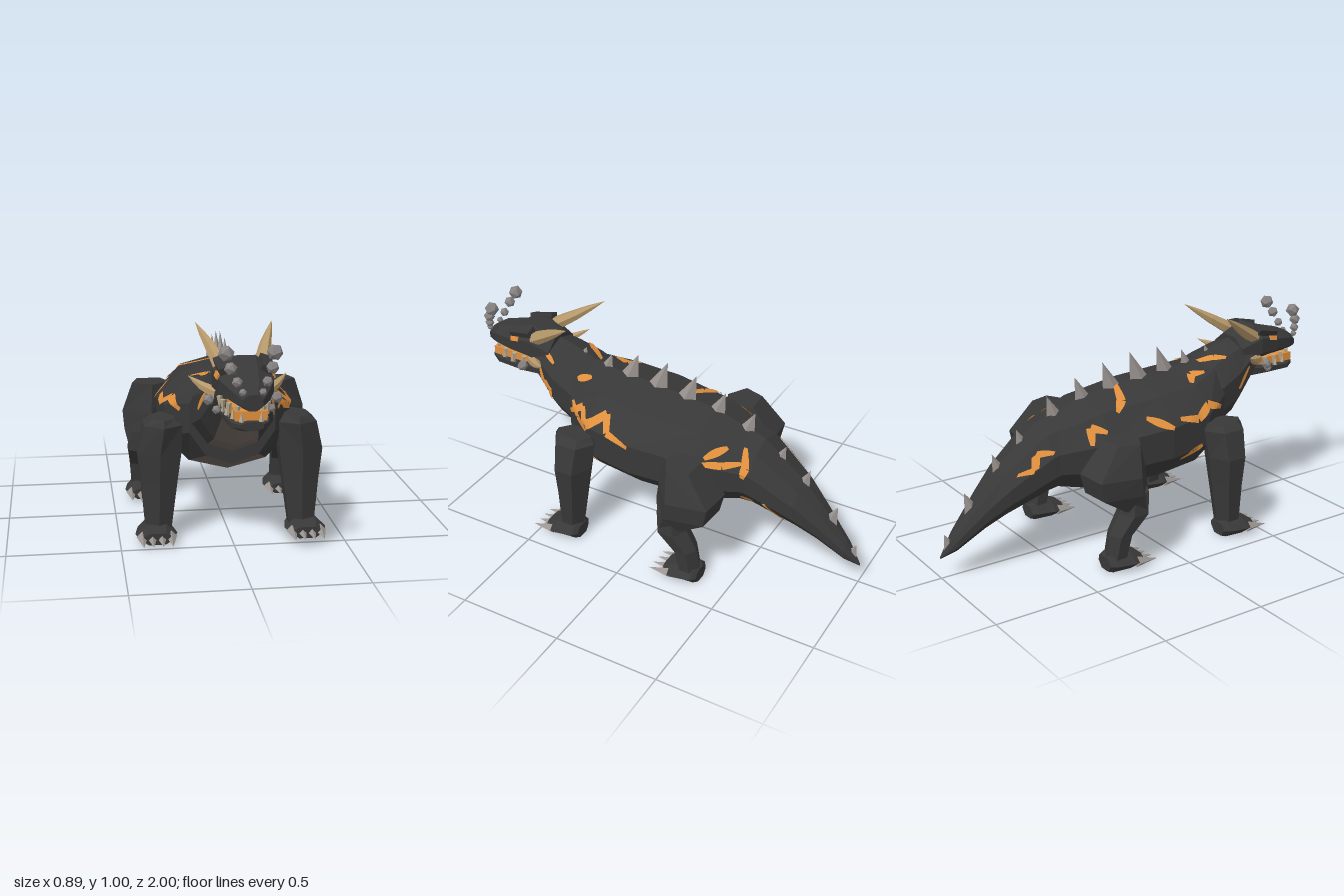
import * as THREE from 'three';

const mat = (name, color) => Object.assign(new THREE.MeshStandardMaterial({ color }), { name });
const V = (x, y, z) => new THREE.Vector3(x, y, z);

// Upright ring facing +z, starting at the bottom (plus phase) and turning towards +x
const ringZ = (n, phase, cx = 0) => ([z, y, w, h]) => Array.from({ length: n }, (_, k) => {
  const a = (k + phase) / n * Math.PI * 2;
  return V(cx + w * Math.sin(a), y - h * Math.cos(a), z);
});
// Level ring, counter-clockwise from above
const ringY = (n, phase) => ([y, x, z, rx, rz]) => Array.from({ length: n }, (_, k) => {
  const a = (k + phase) / n * Math.PI * 2;
  return V(x + rx * Math.cos(a), y, z - rz * Math.sin(a));
});

function fromTriangles(points) {
  const g = new THREE.BufferGeometry().setFromPoints(points);
  g.computeVertexNormals();
  return g;
}

// Skin a row of rings; keep() picks the strips along the sides
function loft(rings, keep = () => true, caps = true) {
  const t = [], n = rings[0].length;
  for (let i = 0; i < rings.length - 1; i++) for (let k = 0; k < n; k++) {
    if (!keep(k)) continue;
    const j = (k + 1) % n, a = rings[i][k], b = rings[i][j], c = rings[i + 1][j], d = rings[i + 1][k];
    t.push(a, d, c, a, c, b);
  }
  if (caps) {
    const first = rings[0], last = rings[rings.length - 1];
    for (let k = 1; k < n - 1; k++) t.push(first[0], first[k], first[k + 1], last[0], last[k + 1], last[k]);
  }
  return fromTriangles(t);
}

function faceted(g) {
  const f = g.index ? g.toNonIndexed() : g;
  f.computeVertexNormals();
  return f;
}

function mirrored(g) {
  const p = g.attributes.position, t = [];
  for (let i = 0; i < p.count; i += 3)
    for (const o of [0, 2, 1]) t.push(V(-p.getX(i + o), p.getY(i + o), p.getZ(i + o)));
  return fromTriangles(t);
}

// Curved, tapering horn
function horn(points, r) {
  const curve = new THREE.CatmullRomCurve3(points), seg = 4, sides = 6;
  const g = new THREE.TubeGeometry(curve, seg, r, sides), p = g.attributes.position, v = V();
  for (let i = 0; i < p.count; i++) {
    const u = Math.floor(i / (sides + 1)) / seg;
    v.fromBufferAttribute(p, i).lerp(curve.getPointAt(u), u * u * 0.98);
    p.setXYZ(i, v.x, v.y, v.z);
  }
  return faceted(g);
}

// Point on a lofted body at depth z and side position t (0 bottom, 5 top, negative for -x)
function onBody(rings, z, t) {
  let i = 0;
  while (i < rings.length - 2 && z < rings[i + 1][0].z) i++;
  const u = (z - rings[i][0].z) / (rings[i + 1][0].z - rings[i][0].z), n = rings[0].length;
  const s = ((t % n) + n) % n, k = Math.floor(s), f = s - k;
  const at = r => r[k].clone().lerp(r[(k + 1) % n], f);
  const centre = r => r[0].clone().lerp(r[n / 2], 0.5);
  const p = at(rings[i]).lerp(at(rings[i + 1]), u);
  const c = centre(rings[i]).lerp(centre(rings[i + 1]), u);
  return p.add(p.clone().sub(c).setZ(0).normalize().multiplyScalar(0.007));
}

// Jagged ribbon following the hide; path is [z, t] pairs
function crack(rings, path, width = 0.038) {
  const tri = [], steps = 8, S = 0.14;
  for (let i = 0; i < path.length - 1; i++) {
    const [z0, t0] = path[i], [z1, t1] = path[i + 1];
    const dz = z1 - z0, dt = (t1 - t0) * S, len = Math.hypot(dz, dt);
    const row = s => {
      const end = (i + s) / (path.length - 1);
      const w = width / 2 * (0.45 + 0.55 * Math.sin(Math.PI * end));
      return [1, -1].map(q => onBody(rings, z0 + dz * s - q * w * dt / len, t0 + (t1 - t0) * s + q * w * dz / len / S));
    };
    for (let s = 0; s < steps; s++) {
      const [a, b] = row(s / steps), [c, d] = row((s + 1) / steps);
      tri.push(a, b, d, a, d, c);
    }
  }
  return fromTriangles(tri);
}

export function createModel() {
  const model = new THREE.Group();
  const hide = mat('charcoal hide', 0x383838), belly = mat('brown belly', 0x6a5f59);
  const glow = mat('orange glow', 0xe08f3c), bone = mat('horn tan', 0xb6986a);
  const spikeGrey = mat('spike grey', 0x9c9592), smoke = mat('smoke grey', 0x858180);
  const tooth = mat('tooth ivory', 0xb5a88f);
  glow.side = THREE.DoubleSide;
  const add = (name, g, m) => {
    const mesh = new THREE.Mesh(g, m);
    mesh.name = name;
    model.add(mesh);
  };
  const both = (name, g, m) => { add(name + 'Left', g, m); add(name + 'Right', mirrored(g), m); };

  // Neck, torso and tail: z, centre y, half width, half height
  const ten = ringZ(10, 0);
  const neck = [[0.70, 0.765, 0.115, 0.1], [0.55, 0.655, 0.165, 0.18], [0.44, 0.61, 0.187, 0.19], [0.36, 0.58, 0.19, 0.18]].map(ten);
  const torso = [[0.43, 0.572, 0.2, 0.214], [0.27, 0.525, 0.3, 0.235], [0.05, 0.508, 0.32, 0.236],
    [-0.25, 0.488, 0.275, 0.222], [-0.48, 0.478, 0.18, 0.15]].map(ten);
  const tail = [[-0.42, 0.49, 0.187, 0.165], [-0.5, 0.47, 0.178, 0.16], [-0.7, 0.355, 0.124, 0.113],
    [-0.8, 0.278, 0.088, 0.083], [-0.93, 0.163, 0.045, 0.045], [-1, 0.1, 0.004, 0.004]].map(ten);
  for (const [name, rings] of Object.entries({ neck, torso, tail })) {
    add(name, loft(rings, k => k > 0 && k < 9), hide);
    add(name + 'Belly', loft(rings, k => k === 0 || k === 9, false), belly);
  }

  // Glowing cracks in the hide
  const cracks = [
    [torso, [0.42, 2.75], [0.34, 3.35], [0.30, 2.95], [0.2, 3.6], [0.17, 3.1], [0.05, 2.95]],
    [torso, [0.41, 3.2], [0.36, 2.9], [0.29, 2.8]],
    [torso, [0.27, 2.1], [0.21, 1.6]], [torso, [-0.29, 3.1], [-0.38, 3.2], [-0.46, 3.5]],
    [torso, [-0.3, 3.3], [-0.38, 3.9]], [torso, [0.42, 3.9], [0.36, 4.3]],
    [torso, [-0.34, -3.1], [-0.32, -3.7], [-0.26, -3.4]], [torso, [-0.18, -3.9], [-0.12, -4.3], [-0.07, -5]],
    [torso, [-0.06, -3.5], [0.05, -3]], [torso, [0.1, -3.2], [0.2, -3], [0.28, -3.3], [0.38, -2.8]],
    [torso, [0.36, -4.2], [0.29, -4.4], [0.25, -4.1]], [torso, [0.22, -2.1], [0.1, -1.8]],
    [neck, [0.5, -4], [0.45, -4.4], [0.38, -4.8]], [neck, [0.63, 3.8], [0.56, 3.6]],
    [neck, [0.63, 2.9], [0.61, 2.2], [0.57, 2.5], [0.56, 2]], [neck, [0.62, -2.8], [0.54, -2.4]],
    [tail, [-0.47, 2.8], [-0.475, 3.3], [-0.45, 4.1]],
    [tail, [-0.44, 1.2], [-0.52, 1.8]], [tail, [-0.57, 2.1], [-0.66, 1.2]],
    [tail, [-0.5, -3.2], [-0.57, -3.7], [-0.59, -3.1], [-0.66, -3.5]],
  ];
  for (const [rings, ...path] of cracks) add('glowingCrack', crack(rings, path), glow);

  // Spikes along the spine, raked back to a rear tip: tip z, tip y, height
  const spikes = [[0.45, 0.835, 0.07], [0.31, 0.835, 0.09], [0.165, 0.875, 0.135], [0.01, 0.875, 0.14], [-0.14, 0.85, 0.13],
    [-0.29, 0.805, 0.12], [-0.44, 0.745, 0.11], [-0.6, 0.62, 0.1], [-0.725, 0.53, 0.11], [-0.87, 0.38, 0.1], [-0.975, 0.205, 0.055]];
  for (const [z, y, h] of spikes) {
    const size = 0.4 + 0.6 * h / 0.14;
    const g = new THREE.ConeGeometry(1, 1, 4, 1).translate(0, -0.5, 0).scale(0.03 * size, h + 0.025, 0.062 * size);
    const p = g.attributes.position;
    for (let i = 0; i < p.count; i++) p.setZ(i, p.getZ(i) - p.getY(i) * 0.4);
    add('backSpike', faceted(g.translate(0, y, z)), spikeGrey);
  }

  // Front legs: y, x, z, half width, half depth
  const leg = ringY(6, 0.5);
  both('frontLeg', loft([[0.56, 0.3, 0.335, 0.06, 0.09], [0.53, 0.3, 0.335, 0.098, 0.108], [0.4, 0.318, 0.335, 0.112, 0.092],
    [0.26, 0.32, 0.34, 0.092, 0.076], [0.05, 0.325, 0.35, 0.066, 0.057]].map(leg)), hide);
  // Hind legs: boxy thigh and bent shin
  both('thigh', loft([[0.59, 0.31, -0.235, 0.095, 0.085], [0.45, 0.32, -0.285, 0.135, 0.165],
    [0.36, 0.325, -0.27, 0.122, 0.16], [0.28, 0.345, -0.21, 0.08, 0.08]].map(ringY(5, -0.29))), hide);
  both('shin', loft([[0.36, 0.345, -0.2, 0.075, 0.07], [0.26, 0.355, -0.215, 0.08, 0.075],
    [0.17, 0.355, -0.285, 0.065, 0.057], [0.04, 0.35, -0.31, 0.06, 0.052]].map(leg)), hide);
  // Feet with four claws
  for (const [name, x, z] of [['front', 0.338, 0.29], ['hind', 0.345, -0.36]]) {
    both(name + 'Foot', loft([[z + 0.17, 0.03, 0.075, 0.03], [z + 0.11, 0.038, 0.094, 0.044],
      [z + 0.02, 0.04, 0.078, 0.046], [z, 0.035, 0.05, 0.036]].map(ringZ(6, 0.5, x))), hide);
    for (let i = 0; i < 4; i++)
      both(name + 'Claw', faceted(new THREE.ConeGeometry(0.026, 0.11, 4).rotateX(Math.PI / 2 + 0.1)
        .translate(x + (i - 1.5) * 0.043, 0.026, z + 0.187)), spikeGrey);
  }

  // Head
  const eight = ringZ(8, 0.5);
  add('skull', loft([[0.99, 0.772, 0.045, 0.035], [0.93, 0.79, 0.085, 0.056], [0.82, 0.803, 0.122, 0.072],
    [0.71, 0.815, 0.138, 0.098], [0.6, 0.775, 0.115, 0.09]].map(eight)), hide);
  add('lowerJaw', loft([[0.97, 0.672, 0.05, 0.02], [0.92, 0.668, 0.085, 0.028], [0.76, 0.675, 0.105, 0.03],
    [0.63, 0.69, 0.1, 0.05]].map(eight)), hide);
  add('glowingMouth', new THREE.BoxGeometry(0.13, 0.04, 0.25).translate(0, 0.71, 0.825), glow);
  both('brow', faceted(new THREE.BoxGeometry(0.05, 0.03, 0.12).rotateX(0.22).rotateZ(-0.35).translate(0.09, 0.877, 0.755)), hide);
  both('eye', faceted(new THREE.BoxGeometry(0.009, 0.022, 0.045).rotateX(0.2).rotateZ(0.35).rotateY(-0.15).translate(0.116, 0.842, 0.785)), glow);

  // Teeth around both jaws
  for (let i = 0; i < 4; i++) {
    const z = 0.75 + i * 0.06, x = 0.1 - 0.048 * (i / 3) ** 2;
    both('upperTooth', faceted(new THREE.ConeGeometry(0.013, 0.06, 4).rotateX(Math.PI).translate(x, 0.717, z)), tooth);
    both('lowerTooth', faceted(new THREE.ConeGeometry(0.011, 0.045, 4).translate(x - 0.012, 0.71, z + 0.024)), tooth);
  }

  // Horns
  both('largeHorn', horn([V(0.08, 0.84, 0.71), V(0.105, 0.9, 0.61), V(0.135, 0.95, 0.53), V(0.165, 1, 0.45)], 0.034), bone);
  both('cheekHorn', horn([V(0.1, 0.745, 0.7), V(0.15, 0.76, 0.64), V(0.21, 0.795, 0.57)], 0.026), bone);

  // Smoke puffs from the nostrils and jaw corners: x, y, z, radius
  for (const [x, y, z, r] of [[0.097, 0.958, 0.92, 0.034], [0.083, 0.904, 0.95, 0.027], [0.06, 0.853, 0.97, 0.022],
    [0.04, 0.815, 0.985, 0.016], [0.143, 0.727, 0.725, 0.025], [0.114, 0.692, 0.76, 0.019]])
    both('smokePuff', faceted(new THREE.IcosahedronGeometry(r, 0).rotateX(0.4).rotateY(0.6).translate(x, y, z)), smoke);

  return model;
}
